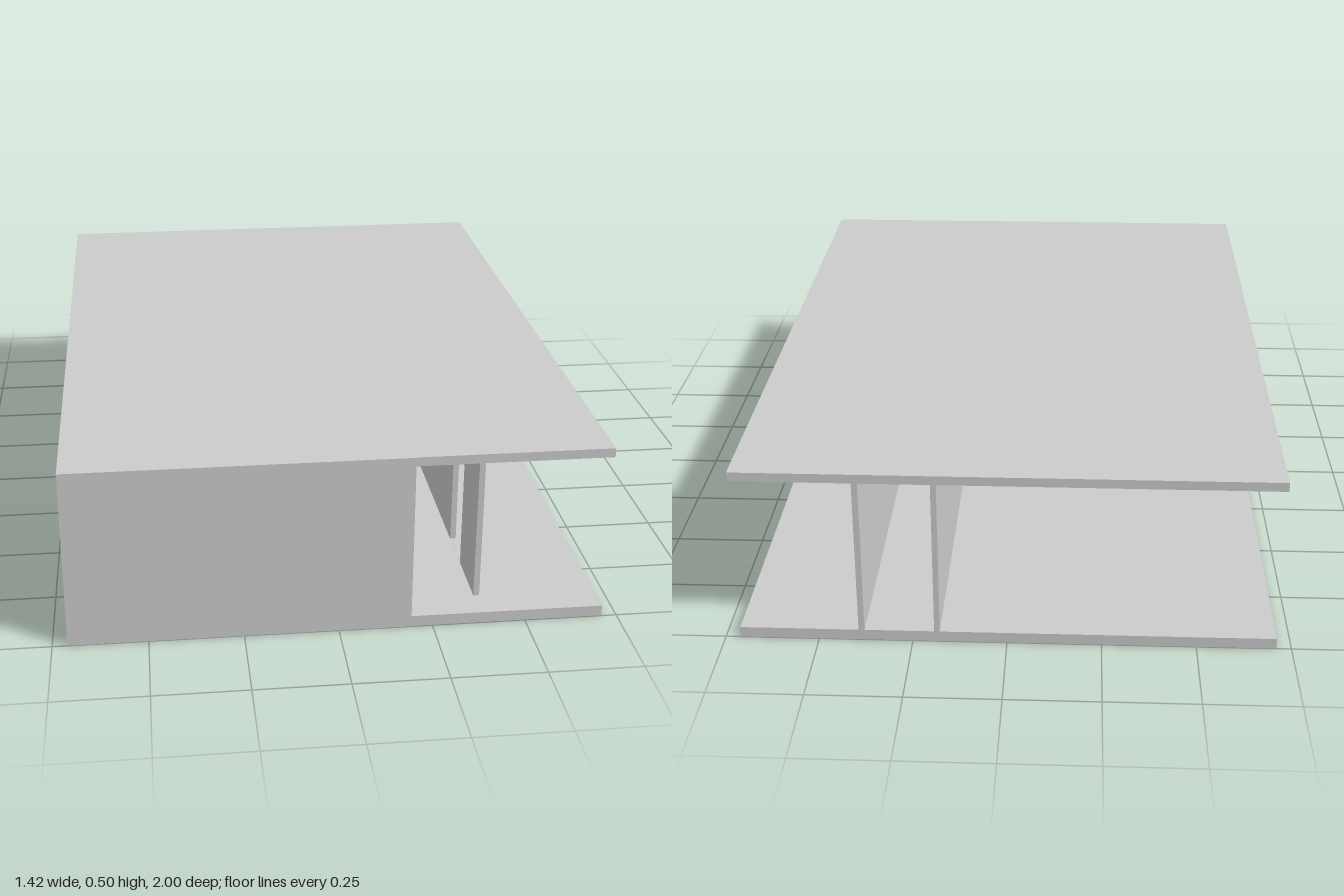
import * as THREE from 'three';

const FLOOR = 0.03, CEILING = 0.47, TOP = 0.495;
const W = 0.71, T = 0.016; // half width, wall thickness

export function createModel() {
  const house = new THREE.Group();
  house.name = 'house';
  const material = new THREE.MeshStandardMaterial({ color: 0xcccccc, flatShading: true });

  function add(name, geometry, parent = house) {
    const mesh = new THREE.Mesh(geometry, material);
    mesh.name = name;
    parent.add(mesh);
    return mesh;
  }

  // Box given by its limits on each axis
  function box(name, [x0, x1], [y0, y1], [z0, z1], parent) {
    const g = new THREE.BoxGeometry(x1 - x0, y1 - y0, z1 - z0);
    g.translate((x0 + x1) / 2, (y0 + y1) / 2, (z0 + z1) / 2);
    return add(name, g, parent);
  }

  function rectangle(Type, [z0, z1], [y0, y1]) {
    return new Type([[z0, y0], [z1, y0], [z1, y1], [z0, y1]].map(p => new THREE.Vector2(...p)));
  }

  // Panel running along z with one rectangular opening, between x0 and x1
  function pierced(name, [x0, x1], y, z, holeY, holeZ, parent) {
    const shape = rectangle(THREE.Shape, z, y);
    shape.holes.push(rectangle(THREE.Path, holeZ, holeY));
    const g = new THREE.ExtrudeGeometry(shape, { depth: x1 - x0, bevelEnabled: false });
    g.rotateY(-Math.PI / 2).translate(x1, 0, 0);
    return add(name, g, parent);
  }

  // Floor and roof slabs
  box('floorSlab', [-W, W], [0, FLOOR], [-1, 0.998]);
  box('roofSlab', [-W, W], [CEILING, TOP], [-1, 0.998]);

  // Walls of the front room
  box('frontWall', [-W, 0.193], [0, TOP], [1 - T, 1]);
  box('roomBackWall', [-W + T, 0.178], [FLOOR, CEILING], [-0.03, -0.03 + T]);
  pierced('windowWall', [-W, -W + T], [FLOOR, CEILING], [-0.03, 1 - T], [0.18, 0.375], [0.175, 0.625]);

  // Corridor walls
  box('innerCorridorWall', [0.178, 0.193], [FLOOR, CEILING], [-1, 1 - T]);
  pierced('outerCorridorWall', [0.378, 0.394], [FLOOR, CEILING], [-1, 0.91],
    [FLOOR + 0.0005, 0.335], [0.59, 0.73]);

  // Interior door, slightly proud of the corridor wall
  box('interiorDoor', [0.174, 0.198], [FLOOR, 0.335], [0.2, 0.34]);

  // Window frame with a central mullion
  const windowGroup = new THREE.Group();
  windowGroup.name = 'window';
  house.add(windowGroup);
  pierced('windowFrame', [-W - 0.005, -W + T + 0.004], [0.167, 0.39], [0.16, 0.64],
    [0.183, 0.374], [0.178, 0.622], windowGroup);
  box('mullion', [-W - 0.002, -W + T], [0.183, 0.374], [0.392, 0.408], windowGroup);

  return house;
}
